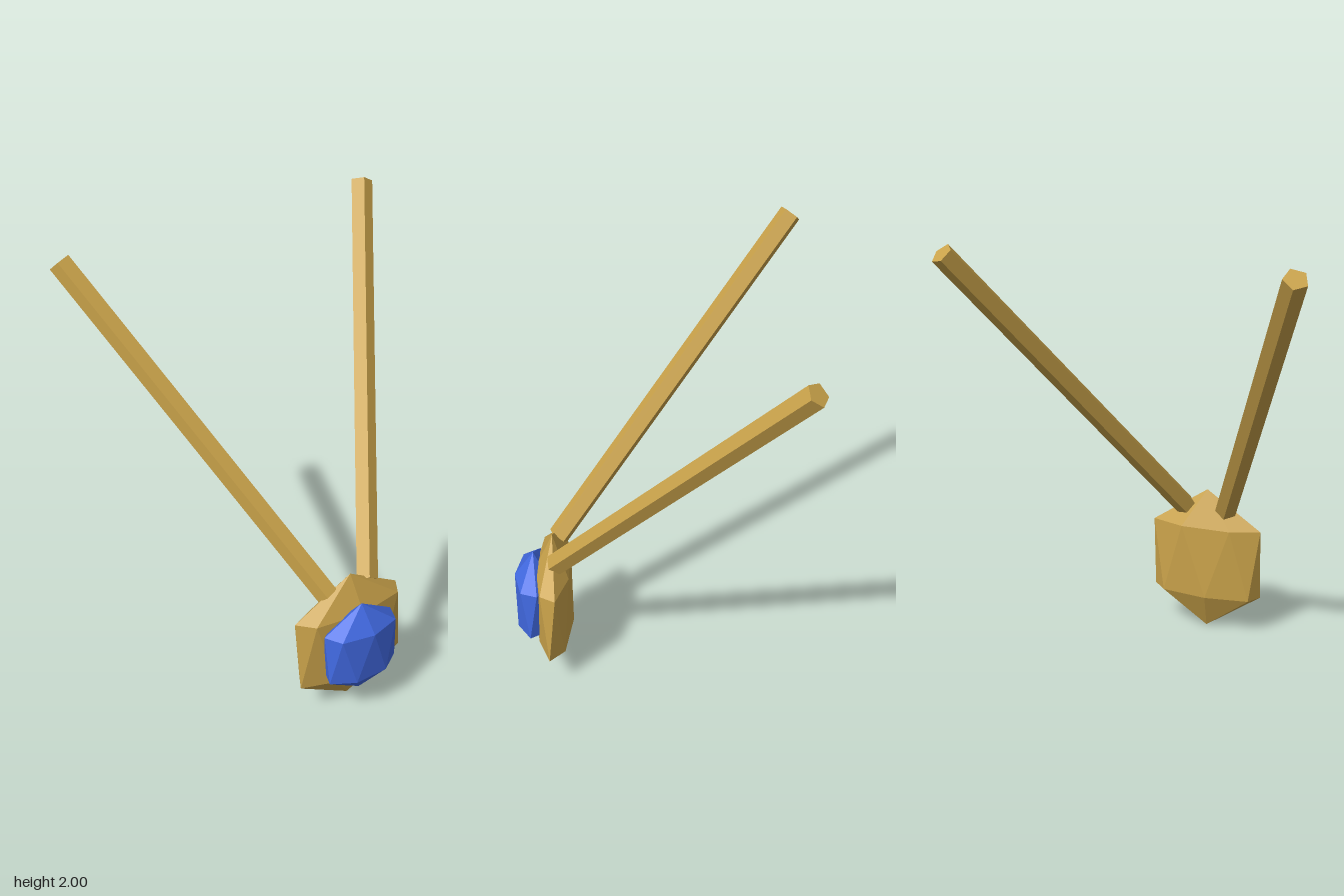
import * as THREE from 'three';

const SIDES = 7;

// Faceted stone: two poles and two rings, the lower ring turned by half a step
function stoneGeometry(rx, ry, rz) {
  const ring = (y, offset) => Array.from({ length: SIDES }, (_, i) => {
    const a = THREE.MathUtils.degToRad(86) + ((i + offset) / SIDES) * Math.PI * 2;
    return [rx * Math.cos(a), y, rz * Math.sin(a)];
  });
  const top = ring(ry * 0.5, 0);
  const low = ring(-ry * 0.5, 0.5);
  const points = [];
  for (let i = 0; i < SIDES; i++) {
    const n = (i + 1) % SIDES;
    points.push([0, ry, 0], top[n], top[i]);
    points.push(top[i], top[n], low[i]);
    points.push(low[i], top[n], low[n]);
    points.push([0, -ry, 0], low[i], low[n]);
  }
  const geometry = new THREE.BufferGeometry();
  geometry.setAttribute('position', new THREE.Float32BufferAttribute(points.flat(), 3));
  geometry.computeVertexNormals();
  return geometry;
}

// Five-sided rod between two points
function rod(from, to, radius, turn, material) {
  const axis = to.clone().sub(from);
  const geometry = new THREE.CylinderGeometry(radius, radius, axis.length(), 5, 1, false, turn);
  const mesh = new THREE.Mesh(geometry, material);
  mesh.position.copy(from).add(to).multiplyScalar(0.5);
  mesh.quaternion.setFromUnitVectors(new THREE.Vector3(0, 1, 0), axis.normalize());
  return mesh;
}

export function createModel() {
  const model = new THREE.Group();
  model.name = 'pendant';
  const gold = new THREE.MeshStandardMaterial({ color: 0xc9a24a, flatShading: true });
  gold.name = 'gold';
  const blue = new THREE.MeshStandardMaterial({ color: 0x4169e1, flatShading: true });
  blue.name = 'blue gem';

  // Setting and the gem in front of it
  const setting = new THREE.Mesh(stoneGeometry(0.281, 0.355, 0.083), gold);
  setting.name = 'setting';
  setting.position.set(0, 0.358, 0.468);
  const gem = new THREE.Mesh(stoneGeometry(0.185, 0.249, 0.09), blue);
  gem.name = 'gem';
  gem.position.set(0, 0.361, 0.561);
  model.add(setting, gem);

  // Straps rising back and outwards from the setting
  for (const side of [1, -1]) {
    const strap = rod(
      new THREE.Vector3(side * 0.103, 0.625, 0.447),
      new THREE.Vector3(side * 0.755, 1.966, -0.604),
      0.052, THREE.MathUtils.degToRad(side > 0 ? -18 : -25), gold);
    strap.name = side > 0 ? 'leftStrap' : 'rightStrap';
    model.add(strap);
  }
  return model;
}
